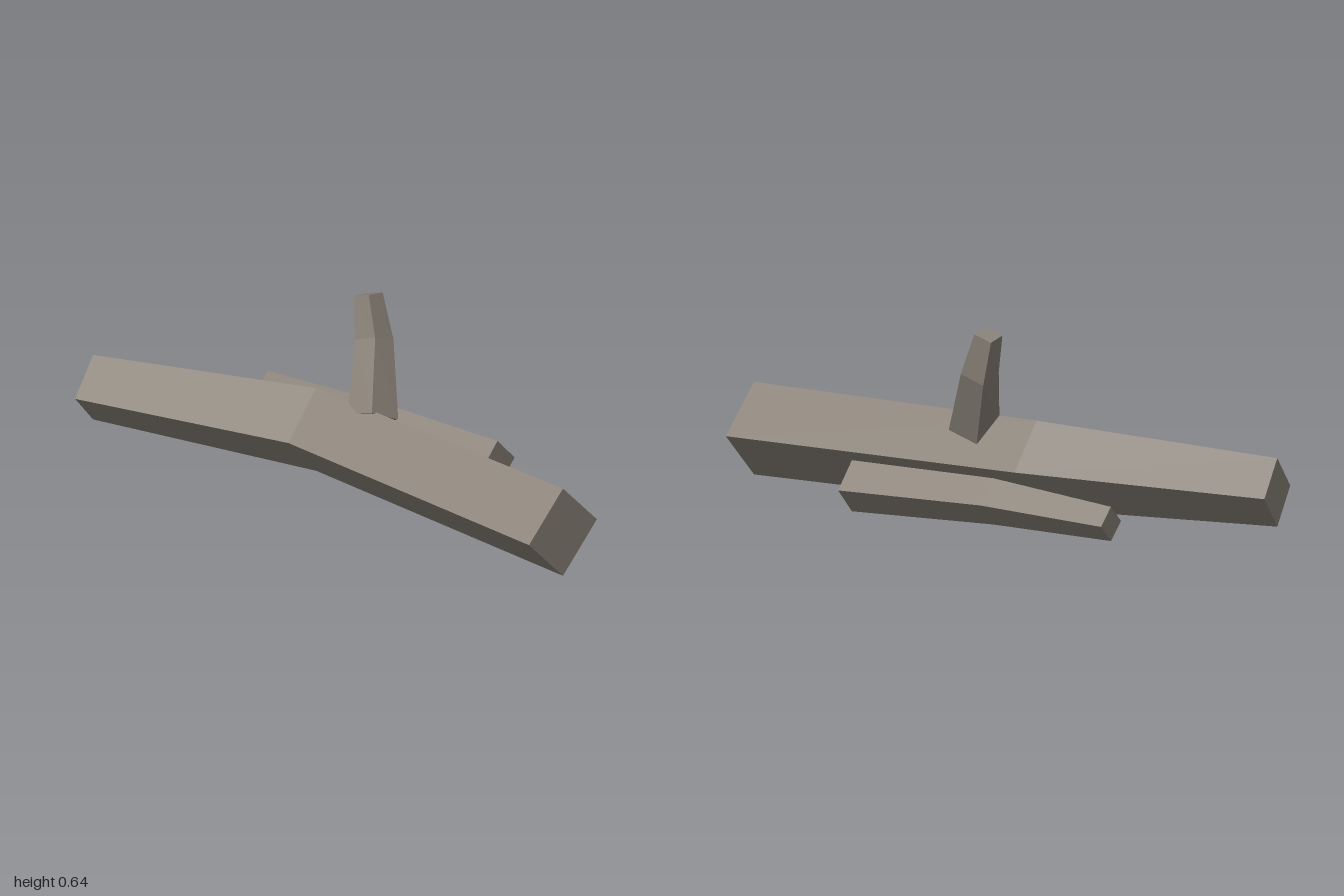
import * as THREE from 'three';

// Lofts a closed solid through four-cornered rings (counter-clockwise seen from the first end).
function loft(rings) {
  const pos = [];
  const quad = (a, b, c, d) => pos.push(...a, ...b, ...c, ...a, ...c, ...d);
  for (let i = 0; i < rings.length - 1; i++) {
    const p = rings[i], q = rings[i + 1];
    for (let j = 0; j < 4; j++) {
      const k = (j + 1) % 4;
      quad(p[j], q[j], q[k], p[k]);
    }
  }
  const [a, b, c, d] = rings[0];
  quad(a, b, c, d);
  const [e, f, g, h] = rings[rings.length - 1];
  quad(h, g, f, e);
  const geo = new THREE.BufferGeometry();
  geo.setAttribute('position', new THREE.Float32BufferAttribute(pos, 3));
  geo.computeVertexNormals();
  return geo;
}

// Diamond cross-section; tilt swings the right corner forward and the left one back.
const diamond = (x, y, z, r, tilt) => [
  [x + r, y, z + tilt], [x, y + r, z], [x - r, y, z - tilt], [x, y - r, z],
];

export function createModel() {
  const group = new THREE.Group();
  const wood = new THREE.MeshStandardMaterial({ color: 0x8a8278, flatShading: true });
  wood.name = 'weathered wood';
  const add = (name, rings) => {
    const mesh = new THREE.Mesh(loft(rings), wood);
    mesh.name = name;
    group.add(mesh);
  };

  // Thick bent log
  add('mainLog', [
    diamond(-0.203, 0.155, 0.977, 0.154, 0.021),
    diamond(-0.05, 0.178, -0.152, 0.146, 0.003),
    diamond(-0.157, 0.15, -0.985, 0.114, -0.014),
  ]);

  // Thin log lying beside it
  add('smallLog', [
    diamond(0.215, 0.102, 0.388, 0.085, 0.005),
    diamond(0.242, 0.11, -0.15, 0.077, 0.006),
    diamond(0.298, 0.093, -0.616, 0.057, 0.006),
  ]);

  // Broken branch rising from the main log, tip to root
  add('branchStub', [
    [[0.068, 0.645, -0.027], [0.137, 0.633, -0.023], [0.142, 0.612, -0.087], [0.073, 0.624, -0.092]],
    [[0.033, 0.52, 0.026], [0.113, 0.49, 0.04], [0.117, 0.46, -0.045], [0.037, 0.49, -0.059]],
    [[-0.104, 0.322, 0.118], [0, 0.272, 0.146], [0.01, 0.237, 0.037], [-0.094, 0.287, 0.009]],
  ]);

  return group;
}
